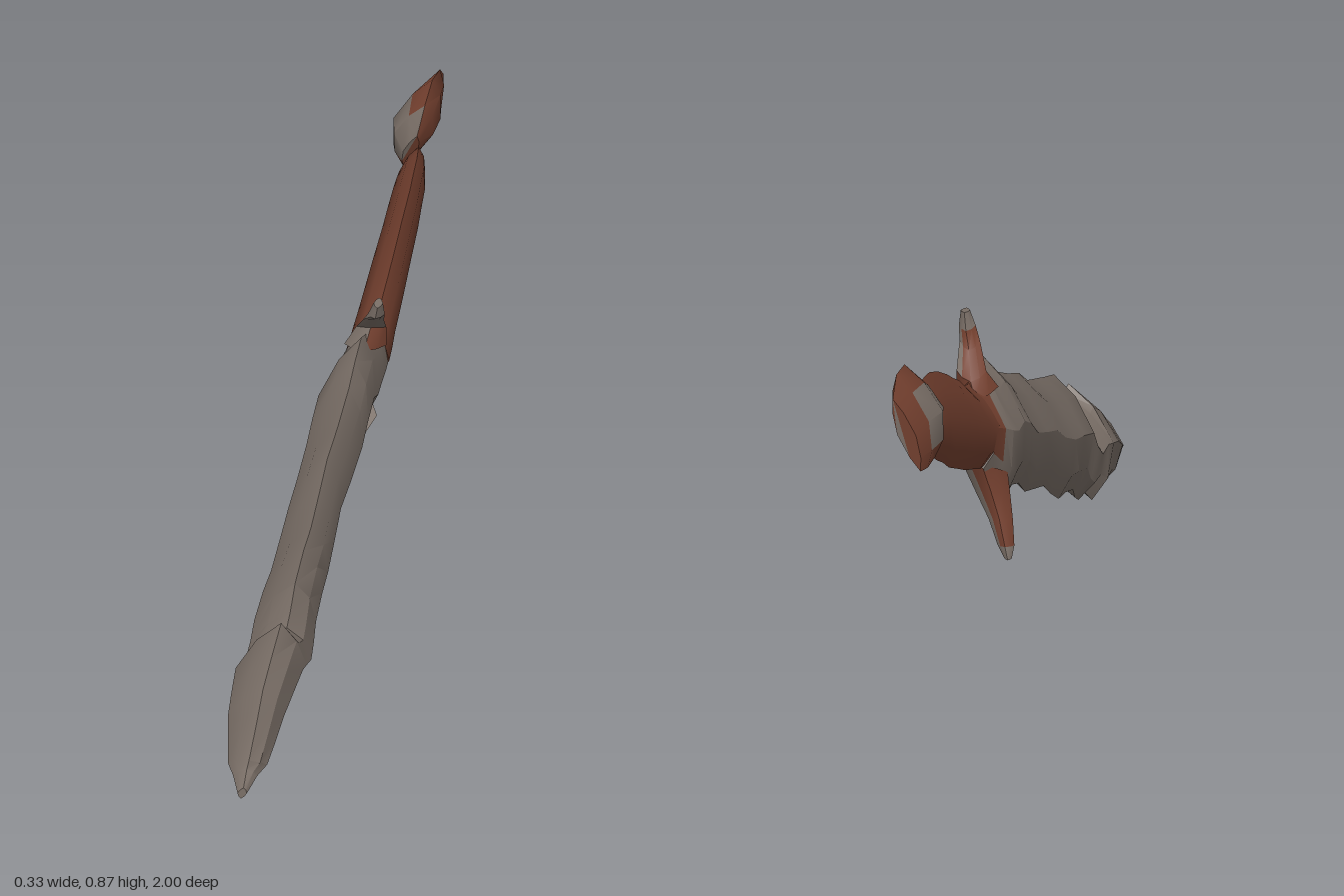
import * as THREE from 'three';
import { toCreasedNormals } from 'three/addons/utils/BufferGeometryUtils.js';

const steel = new THREE.MeshStandardMaterial({ color: 0x7a6f67 });
steel.name = 'dull steel';
const leather = new THREE.MeshStandardMaterial({ color: 0x74402f });
leather.name = 'brown leather';
const STEEL = 0, LEATHER = 1;

// Cross-section: [along edge axis, across thickness], a softened diamond
const SECTION = [[1, 0], [0.62, 0.6], [0, 1], [-0.62, 0.6], [-1, 0], [-0.62, -0.6], [0, -1], [0.62, -0.6]];

function seeded(seed) {
  return () => {
    seed = (seed * 16807) % 2147483647;
    return seed / 2147483647;
  };
}

// Insert intermediate stations and chip the two edges inwards
function chip(stations, steps, amount, seed) {
  const rnd = seeded(seed), out = [];
  for (let i = 0; i < stations.length - 1; i++) {
    for (let k = 0; k < steps; k++) {
      const s = stations[i].map((v, n) => THREE.MathUtils.lerp(v, stations[i + 1][n], k / steps));
      if (i + k > 0) {
        s[0] += (rnd() - 0.5) * amount;
        s[1] -= (rnd() - 0.3) * amount;
        s[2] += (rnd() - 0.5) * amount;
        s[3] += (rnd() - 0.3) * amount;
      }
      out.push(s);
    }
  }
  out.push(stations[stations.length - 1]);
  return out;
}

// Loft through stations [zA, yA, zB, yB, centreX, halfThickness];
// the edges lean sideways by roll; paint(row, side) chooses the colour.
function loft(name, stations, roll, paint, crease = 0.6) {
  const rings = stations.map(([za, ya, zb, yb, cx, h]) => SECTION.map(([c, s]) => {
    const dy = c * (ya - yb) / 2;
    return new THREE.Vector3(cx + s * h + roll * dy, (ya + yb) / 2 + dy, (za + zb) / 2 + c * (za - zb) / 2);
  }));
  const faces = [[], []];
  const n = SECTION.length, last = rings.length - 1;
  for (let i = 0; i < last; i++) {
    for (let j = 0; j < n; j++) {
      const k = (j + 1) % n;
      const [a, b, c, d] = [rings[i][j], rings[i][k], rings[i + 1][k], rings[i + 1][j]];
      faces[paint(i, j)].push(a, b, c, a, c, d);
    }
  }
  // End caps
  for (let j = 1; j < n - 1; j++) {
    faces[paint(0, j)].push(rings[0][0], rings[0][j + 1], rings[0][j]);
    faces[paint(last - 1, j)].push(rings[last][0], rings[last][j], rings[last][j + 1]);
  }
  let geo = new THREE.BufferGeometry().setFromPoints([...faces[0], ...faces[1]]);
  geo = toCreasedNormals(geo, crease);
  geo.clearGroups();
  geo.addGroup(0, faces[0].length, STEEL);
  geo.addGroup(faces[0].length, faces[1].length, LEATHER);
  const mesh = new THREE.Mesh(geo, [steel, leather]);
  mesh.name = name;
  return mesh;
}

export function createModel() {
  const group = new THREE.Group();
  group.name = 'dagger';

  // Blade, from the tip back to the guard
  const blade = chip([
    [1.0, 0.03, 1.0, 0.005, -0.115, 0.01],
    [0.95, 0.09, 0.86, 0.01, -0.11, 0.042],
    [0.82, 0.18, 0.74, 0.015, -0.103, 0.06],
    [0.68, 0.27, 0.62, 0.035, -0.085, 0.072],
    [0.63, 0.25, 0.54, 0.06, -0.07, 0.07],
    [0.57, 0.32, 0.47, 0.09, -0.06, 0.066],
    [0.40, 0.395, 0.31, 0.14, -0.042, 0.061],
    [0.21, 0.46, 0.18, 0.205, -0.022, 0.056],
    [0.02, 0.545, 0.02, 0.27, 0.005, 0.06],
    [-0.10, 0.605, -0.11, 0.315, 0.022, 0.06],
    [-0.16, 0.605, -0.19, 0.33, 0.036, 0.057],
    [-0.21, 0.585, -0.265, 0.415, 0.055, 0.048],
  ], 2, 0.022, 41);
  group.add(loft('blade', blade, 0.23, (i, j) =>
    i >= blade.length - 3 && (j === 0 || j === 7) || i === blade.length - 2 && j > 4 ? LEATHER : STEEL, 0.45));

  // Grip
  const grip = chip([
    [-0.19, 0.58, -0.26, 0.42, 0.054, 0.05],
    [-0.29, 0.625, -0.33, 0.435, 0.064, 0.046],
    [-0.40, 0.675, -0.45, 0.475, 0.078, 0.043],
    [-0.58, 0.75, -0.62, 0.545, 0.098, 0.038],
    [-0.70, 0.775, -0.74, 0.605, 0.108, 0.034],
    [-0.765, 0.765, -0.79, 0.635, 0.11, 0.028],
    [-0.795, 0.74, -0.825, 0.68, 0.11, 0.014],
  ], 2, 0.01, 7);
  group.add(loft('grip', grip, 0.23, () => LEATHER, 0.8));

  // Pommel with worn steel patches on both sides
  group.add(loft('pommel', [
    [-0.775, 0.785, -0.815, 0.695, 0.105, 0.016],
    [-0.825, 0.835, -0.85, 0.69, 0.108, 0.042],
    [-0.88, 0.872, -0.91, 0.675, 0.111, 0.05],
    [-0.94, 0.87, -0.965, 0.67, 0.122, 0.036],
    [-0.998, 0.835, -0.985, 0.668, 0.13, 0.02],
  ], 0.35, (i, j) =>
    (i === 1 || i === 2) && [2, 3, 5, 6].includes(j) || i === 0 && j > 4 || i === 3 && j === 2 ? STEEL : LEATHER));

  // Guard prongs; the faces turned to the grip are brown near the blade
  group.add(loft('upperGuard', [
    [-0.10, 0.575, -0.22, 0.555, 0.058, 0.045],
    [-0.135, 0.615, -0.205, 0.59, 0.07, 0.032],
    [-0.075, 0.66, -0.135, 0.635, 0.08, 0.022],
    [-0.045, 0.675, -0.11, 0.67, 0.088, 0.018],
    [-0.045, 0.70, -0.09, 0.705, 0.093, 0.01],
  ], 0.1, (i, j) => i < 3 && j > 2 && j < 6 || i === 0 && j < 3 ? LEATHER : STEEL));
  group.add(loft('lowerGuard', [
    [-0.26, 0.42, -0.13, 0.35, 0.035, 0.045],
    [-0.255, 0.36, -0.18, 0.32, 0.018, 0.036],
    [-0.27, 0.305, -0.22, 0.285, 0.0, 0.026],
    [-0.295, 0.25, -0.255, 0.245, -0.014, 0.018],
    [-0.30, 0.222, -0.28, 0.225, -0.02, 0.008],
  ], 0.1, (i, j) => i < 3 && (j === 0 || j > 5) ? LEATHER : STEEL));

  return group;
}
